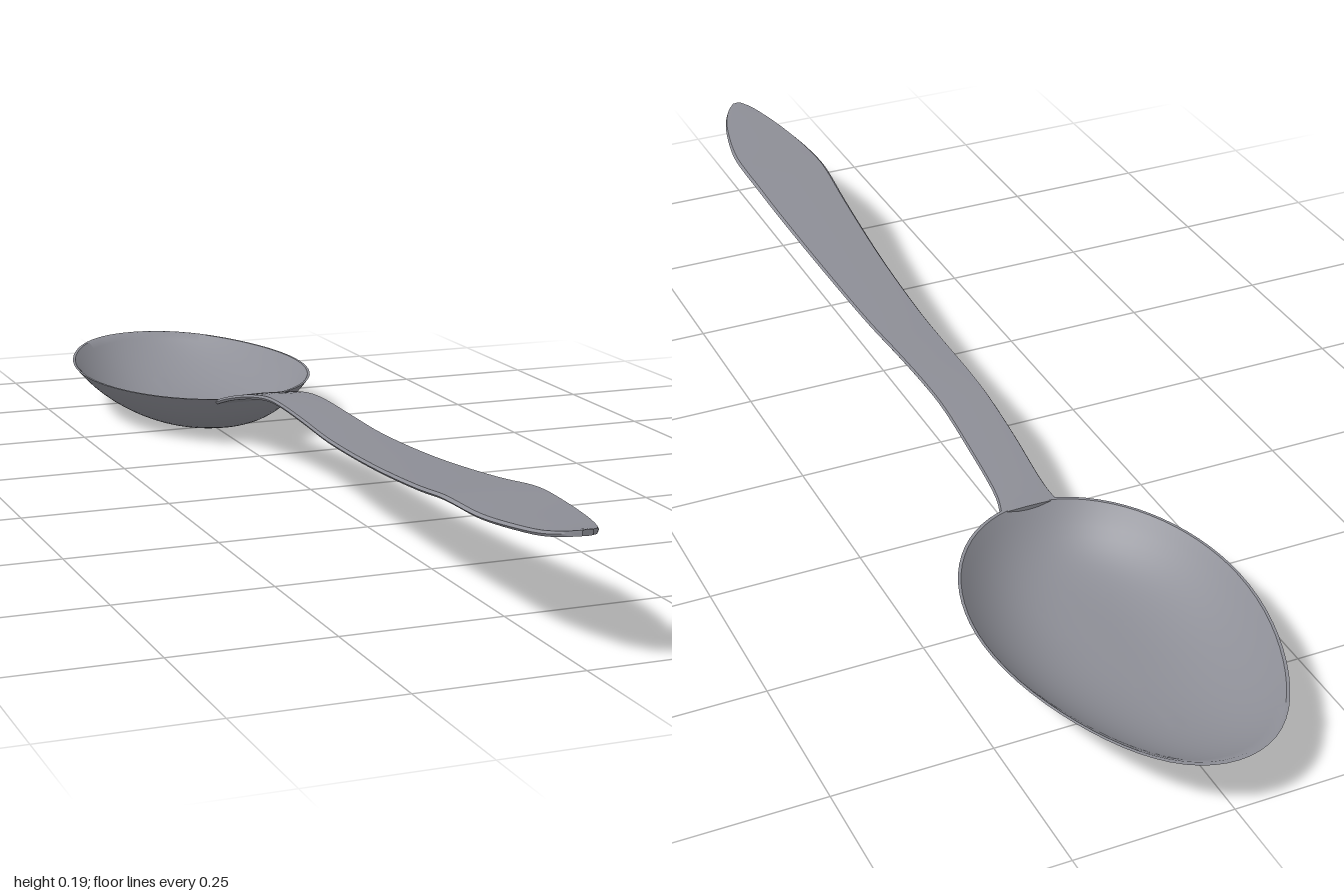
import * as THREE from 'three';
import { toCreasedNormals } from 'three/addons/utils/BufferGeometryUtils.js';

const steel = new THREE.MeshStandardMaterial({ color: 0x8d8e96 });
steel.name = 'steel grey';

// Skin a list of closed rings, each with the same number of points
function loft(name, rings, crease) {
  const n = rings[0].length;
  const index = [];
  for (let i = 0; i < rings.length - 1; i++) {
    for (let j = 0; j < n; j++) {
      const k = (j + 1) % n;
      const a = i * n + j, b = a + n, c = i * n + k, d = c + n;
      index.push(a, b, c, c, b, d);
    }
  }
  const geometry = new THREE.BufferGeometry();
  geometry.setAttribute('position', new THREE.Float32BufferAttribute(rings.flat(2), 3));
  geometry.setIndex(index);
  const mesh = new THREE.Mesh(toCreasedNormals(geometry, crease), steel);
  mesh.name = name;
  return mesh;
}

// Egg-shaped bowl: inner skin from the centre to the rim, then outer skin back
function makeBowl() {
  const rim = 0.088, wall = 0.006, steps = 20, sides = 72;
  const ring = (t, inner) => Array.from({ length: sides }, (_, j) => {
    const a = (j / sides) * Math.PI * 2;
    const s = Math.sin(a), c = Math.cos(a);
    const length = c > 0 ? 0.3 : 0.37;
    const steepness = 3 + (c > 0 ? 1.8 : -0.2) * c * c;
    const shrink = t * (inner ? 0.98 : 1);
    const slim = c < 0 ? 1 - 0.16 * (s * c) ** 2 : 1;
    const base = inner ? wall : 0;
    return [0.213 * s * shrink * slim, base + (rim - base) * t ** steepness, -0.63 + length * c * shrink];
  });
  const rings = [];
  for (let i = 0; i <= steps; i++) rings.push(ring(i / steps, true));
  for (let i = steps; i >= 0; i--) rings.push(ring(i / steps, false));
  return loft('bowl', rings, 0.7);
}

// Flat handle: stations give half width, height and z
function makeHandle() {
  const stations = [
    [0.05, 0.083, -0.342], [0.043, 0.094, -0.31], [0.042, 0.121, -0.2], [0.042, 0.138, -0.1],
    [0.043, 0.141, -0.03], [0.045, 0.138, 0.08], [0.049, 0.134, 0.2], [0.057, 0.14, 0.4],
    [0.068, 0.156, 0.6], [0.074, 0.168, 0.7], [0.075, 0.17, 0.74], [0.071, 0.17, 0.82],
    [0.056, 0.174, 0.9], [0.041, 0.178, 0.95], [0.024, 0.184, 0.983], [0.008, 0.188, 1],
  ].map((p) => new THREE.Vector3(...p));
  const path = new THREE.CatmullRomCurve3(stations);
  const section = [[-1, 0], [-0.94, 0.45], [0, 0.55], [0.94, 0.45], [1, 0], [0.94, -0.45], [0, -0.5], [-0.94, -0.45]];
  const thickness = 0.009;
  const ring = (p, scale) => {
    const drift = -0.004 * THREE.MathUtils.smoothstep(p.z, -0.3, 0.8);
    return section.map(([x, y]) => [drift + x * p.x * scale, p.y + y * thickness * scale, p.z]);
  };
  const points = path.getPoints(75);
  const rings = points.map((p) => ring(p, 1));
  // closed ends
  rings.unshift(ring(points[0], 0));
  rings.push(ring(points[75], 0));
  return loft('handle', rings, 0.6);
}

export function createModel() {
  const spoon = new THREE.Group();
  spoon.name = 'spoon';
  spoon.add(makeBowl(), makeHandle());
  return spoon;
}
